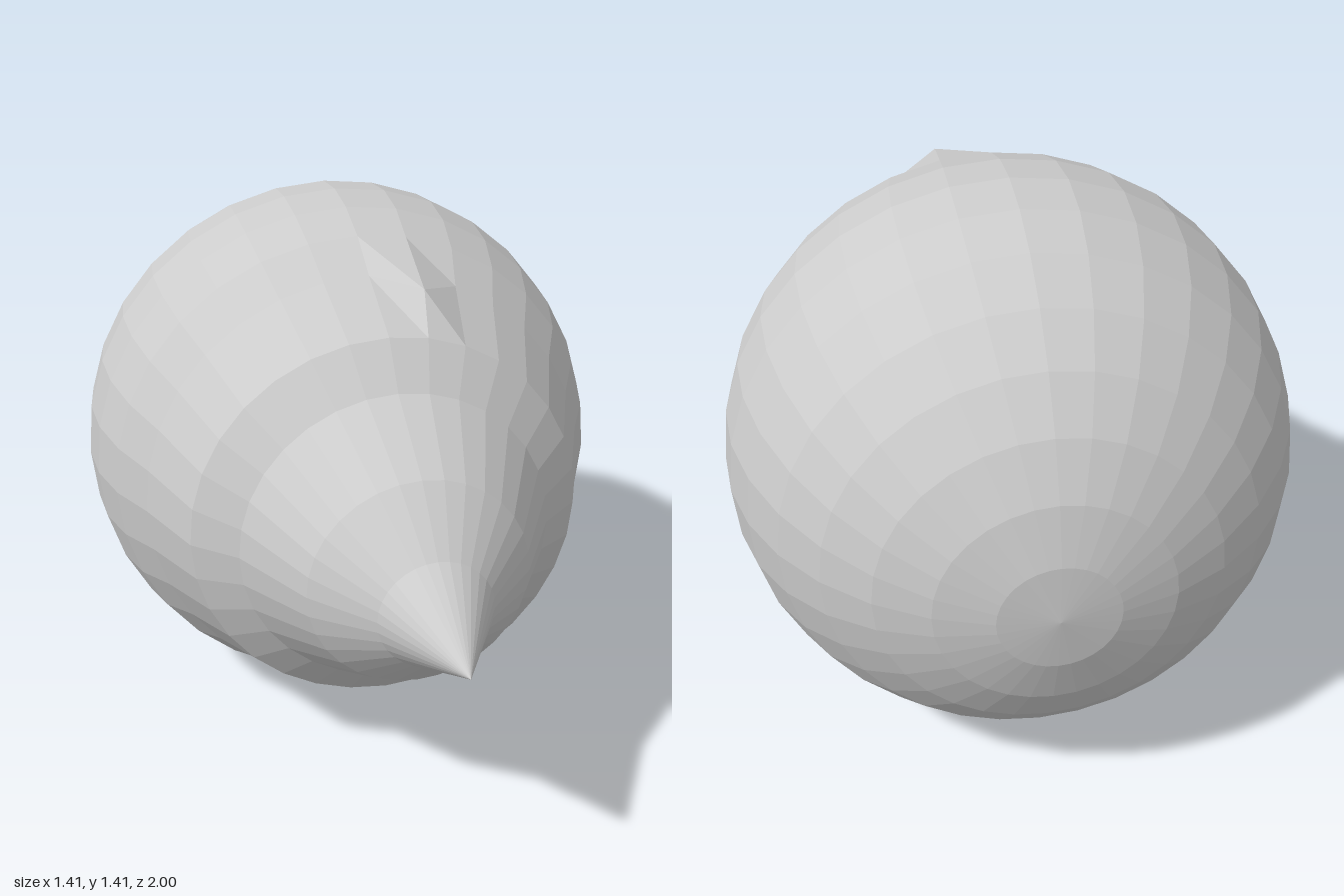
import * as THREE from 'three';

const R = 0.705, SIDES = 32, RINGS = 16;
// z of the five foremost rings, drawn out from the sphere into a stepped point
const SNOUT_Z = [1.0, 0.745, 0.605, 0.39, 0.30];

export function createModel() {
  const group = new THREE.Group();

  // Profile from the rear pole to the front tip, in even steps of latitude
  const profile = [];
  for (let i = RINGS; i >= 0; i--) {
    const t = (i / RINGS) * Math.PI;
    const along = i < SNOUT_Z.length ? SNOUT_Z[i] : R * Math.cos(t) - 0.295;
    profile.push(new THREE.Vector2(i % RINGS ? R * Math.sin(t) : 0, along));
  }
  const geometry = new THREE.LatheGeometry(profile, SIDES);
  geometry.rotateX(Math.PI / 2);

  // Small raised peak on top: one vertex of the ring behind the snout, pulled forward
  const position = geometry.attributes.position;
  const peak = (SIDES / 2 - 1) * profile.length + RINGS - SNOUT_Z.length;
  position.setZ(peak, position.getZ(peak) + 0.1);
  geometry.computeVertexNormals();

  const material = new THREE.MeshStandardMaterial({ color: 0xcccccc, flatShading: true });
  const body = new THREE.Mesh(geometry, material);
  body.name = 'pointedBody';
  body.position.y = R;
  group.add(body);
  return group;
}
